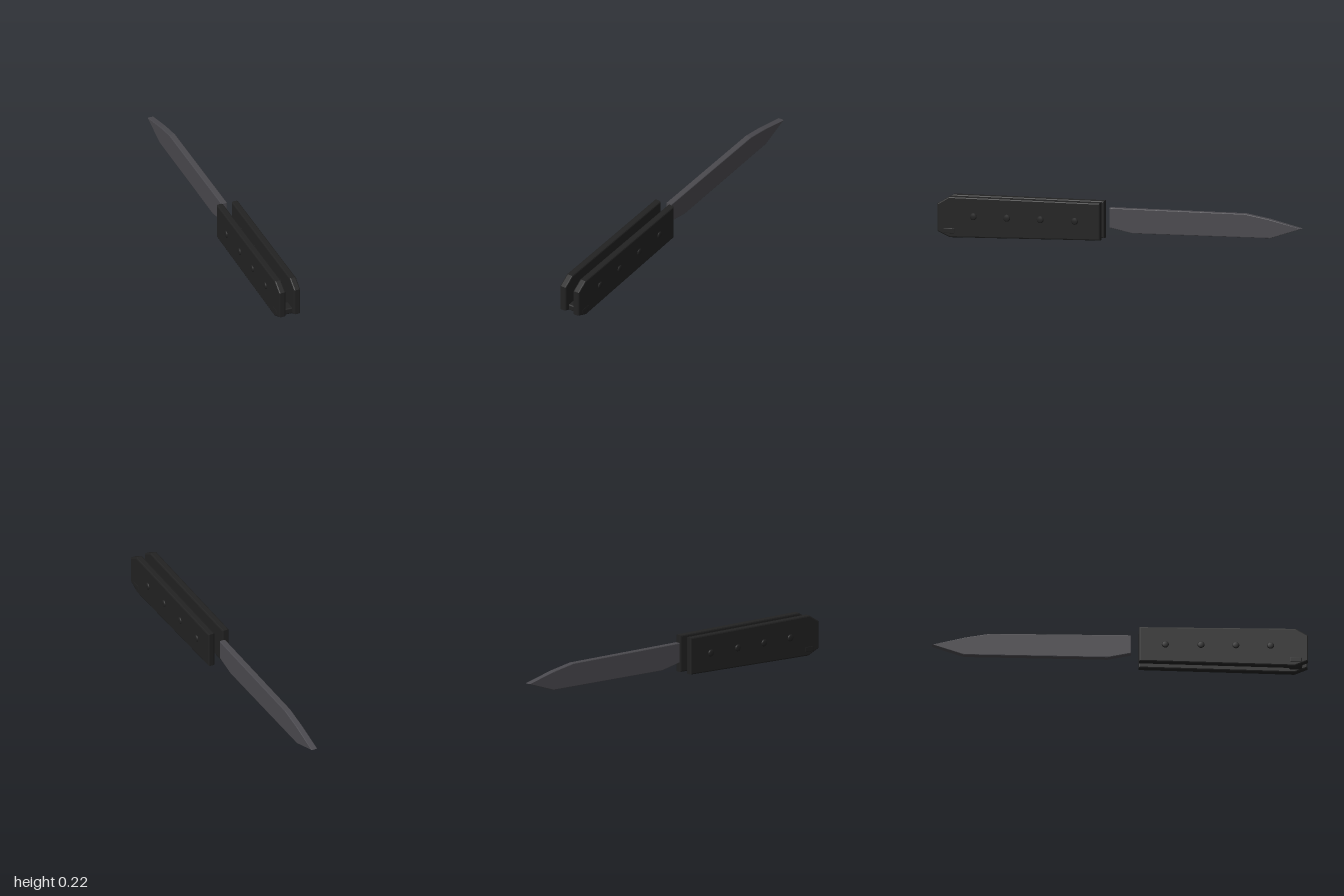
import * as THREE from 'three';
import { RoundedBoxGeometry } from 'three/addons/geometries/RoundedBoxGeometry.js';

const material = (name, color) => {
  const m = new THREE.MeshStandardMaterial({ color });
  m.name = name;
  return m;
};

// Bevelled slab from a (z, y) outline, centred on x = 0
function slab(outline, thickness, bevel) {
  const shape = new THREE.Shape(outline.map(([z, y]) => new THREE.Vector2(z, y)));
  const depth = thickness - 2 * bevel;
  const geometry = new THREE.ExtrudeGeometry(shape, {
    depth, bevelEnabled: true, bevelThickness: bevel, bevelSize: bevel,
    bevelOffset: -bevel, bevelSegments: 2,
  });
  return geometry.translate(0, 0, -depth / 2).rotateY(-Math.PI / 2);
}

export function createModel() {
  const model = new THREE.Group();
  model.name = 'foldingKnife';
  const black = material('handle black', 0x222222);
  const steel = material('blade steel', 0x4a494e);

  const add = (name, geometry, mat, x, y, z) => {
    const mesh = new THREE.Mesh(geometry, mat);
    mesh.name = name;
    mesh.position.set(x, y, z);
    model.add(mesh);
  };

  // Handle plates
  const plate = slab([
    [0.1, 0.018], [0.93, 0], [1, 0.03], [1, 0.18], [0.935, 0.219], [0.1, 0.219],
  ], 0.037, 0.007);
  add('leftHandlePlate', plate, black, 0.0425, 0, 0);
  add('rightHandlePlate', plate, black, -0.0425, 0, 0);

  // Blade with a dropped point
  const blade = slab([
    [0.06, 0.083], [0.06, 0.19], [-0.69, 0.19], [-0.82, 0.167],
    [-1, 0.122], [-0.83, 0.064], [-0.065, 0.057],
  ].reverse(), 0.034, 0.004);
  add('blade', blade, steel, 0, 0, 0);

  // Cross pins with softened ends
  const pin = new THREE.LatheGeometry([
    [0, -0.067], [0.013, -0.067], [0.018, -0.064], [0.02, -0.058],
    [0.02, 0.058], [0.018, 0.064], [0.013, 0.067], [0, 0.067],
  ].map(([r, h]) => new THREE.Vector2(r, h)), 20).rotateZ(Math.PI / 2);
  for (const z of [0.24, 0.43, 0.615, 0.8]) add('handlePin', pin, black, 0, 0.117, z);

  // Spacer at the butt of the handle
  add('buttSpacer', new RoundedBoxGeometry(0.124, 0.036, 0.07, 3, 0.008), black, 0, 0.036, 0.935);

  return model;
}
